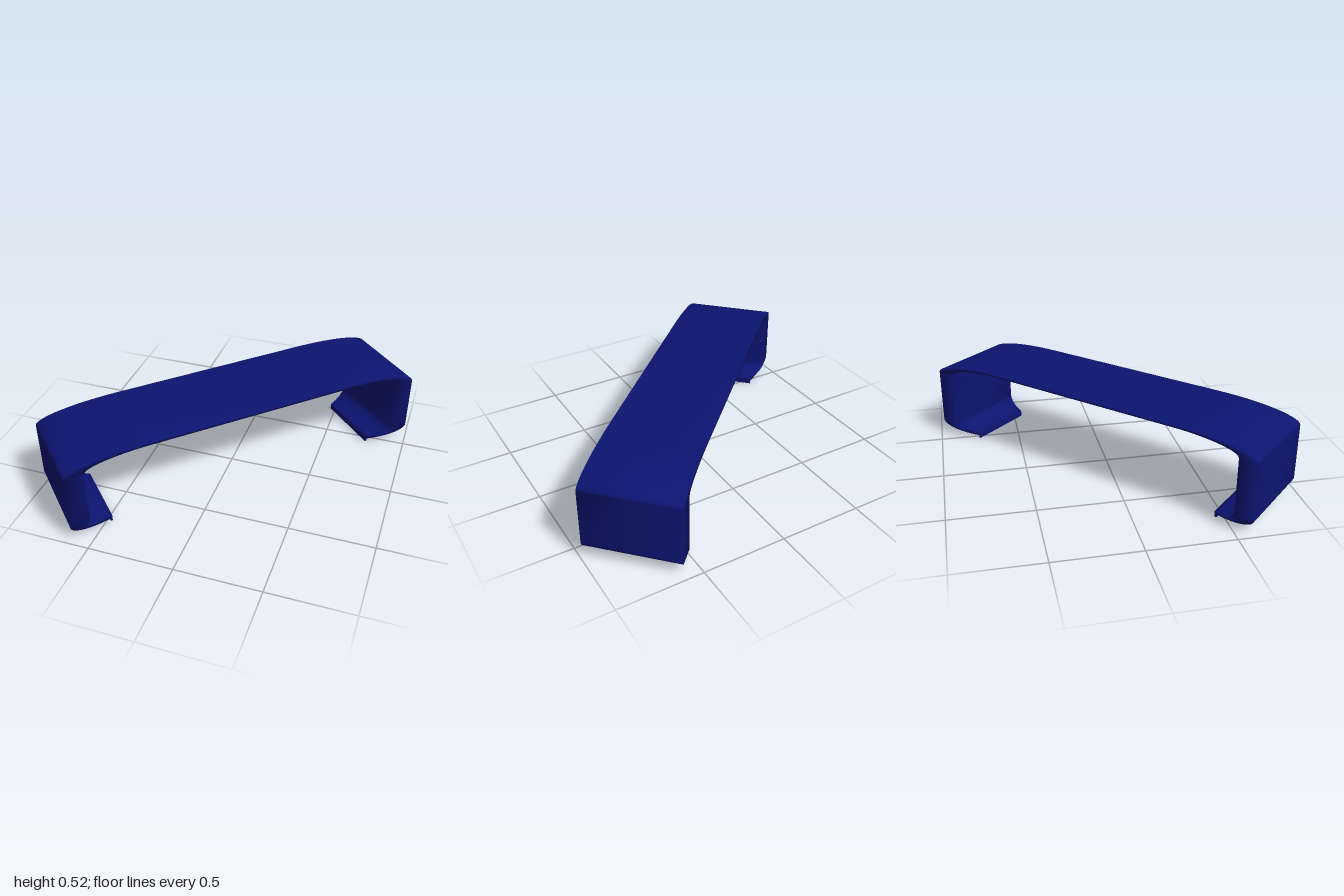
import * as THREE from 'three';

const HALF_WIDTH = 0.275;
const TIP_WIDTH = 0.21;

// Sections of the left half, from the hooked tip up to the bar:
// outer point, inner point and half width
function halfSections() {
  const list = [];
  const N = 14;
  for (let i = 0; i <= N; i++) { // lower hook, narrowing to its tip
    const a = (i / N) * Math.PI / 2, s = Math.sin(a), c = Math.cos(a);
    list.push({
      outer: [-0.866 - 0.251 * s, 0.1 - 0.082 * c],
      inner: [-0.866 - 0.137 * s, 0.1 - 0.062 * c],
      w: TIP_WIDTH + (HALF_WIDTH - TIP_WIDTH) * s,
    });
  }
  for (let i = 0; i <= N; i++) { // upper corner, a long flat ellipse
    const a = (i / N) * Math.PI / 2, s = Math.sin(a), c = Math.cos(a);
    list.push({
      outer: [-0.61 - 0.507 * c, 0.435 + 0.085 * s],
      inner: [-0.61 - 0.393 * c, 0.435 + 0.07 * s],
      w: HALF_WIDTH,
    });
  }
  return list;
}

// Joins the six-point rings of all sections into one closed skin
function handleGeometry() {
  const left = halfSections();
  const flip = ([x, y]) => [-x, y];
  const right = left.map((s) => ({ outer: flip(s.outer), inner: flip(s.inner), w: s.w })).reverse();
  const sections = [...left, ...right];
  const pos = [], index = [], R = 6;
  for (const { outer, inner, w } of sections) {
    for (const v of [-w, 0, w]) pos.push(...outer, v);
    for (const v of [w, 0, -w]) pos.push(...inner, v);
  }
  for (let s = 0; s < sections.length - 1; s++) {
    for (let i = 0; i < R; i++) {
      const a = s * R + i, b = s * R + (i + 1) % R;
      index.push(a, b, b + R, a, b + R, a + R);
    }
  }
  const last = (sections.length - 1) * R;
  for (const [i, j, k] of [[0, 1, 4], [0, 4, 5], [1, 2, 3], [1, 3, 4]]) {
    index.push(k, j, i, last + i, last + j, last + k);
  }
  const g = new THREE.BufferGeometry();
  g.setAttribute('position', new THREE.Float32BufferAttribute(pos, 3));
  g.setIndex(index);
  g.computeVertexNormals();
  return g;
}

export function createModel() {
  const material = new THREE.MeshStandardMaterial({ color: 0x0c1470 });
  const model = new THREE.Group();
  model.name = 'pullHandle';

  const handle = new THREE.Group();
  handle.name = 'handle';
  handle.rotation.y = 0.773; // lies diagonally
  model.add(handle);

  const body = new THREE.Mesh(handleGeometry(), material);
  body.name = 'handleBody';
  handle.add(body);

  // Thin foot edge under each hook tip
  for (const side of [-1, 1]) {
    const foot = new THREE.Mesh(new THREE.BoxGeometry(0.012, 0.036, TIP_WIDTH * 2), material);
    foot.name = side < 0 ? 'rightFootEdge' : 'leftFootEdge';
    foot.position.set(side * 0.866, 0.018, 0);
    handle.add(foot);
  }
  return model;
}
